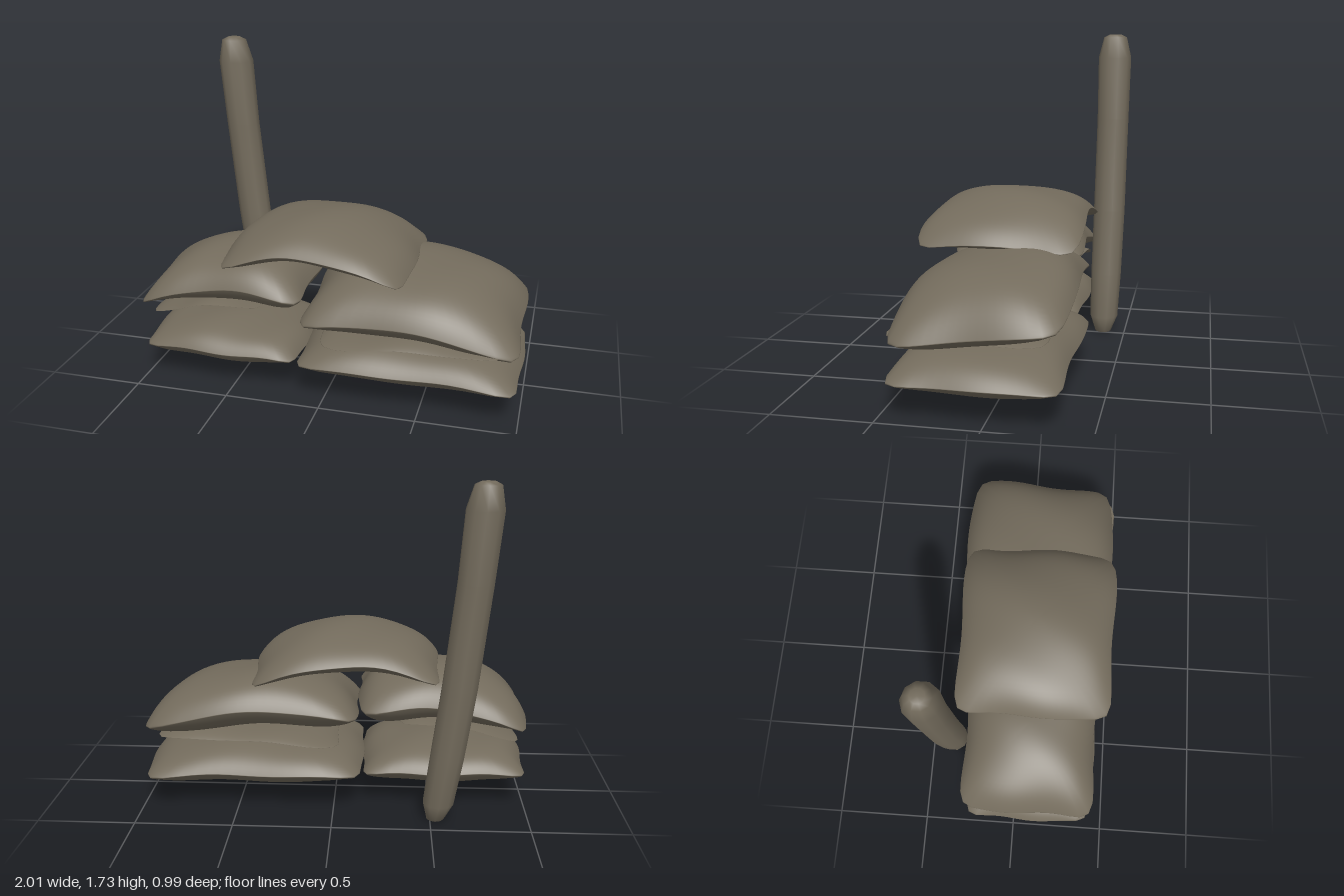
import * as THREE from 'three';
import { mergeVertices } from 'three/addons/utils/BufferGeometryUtils.js';

// Drop uvs and weld seams so the cloth shades smoothly
function weld(geo) {
  geo.deleteAttribute('uv');
  geo.deleteAttribute('normal');
  const g = mergeVertices(geo, 1e-4);
  g.computeVertexNormals();
  return g;
}

// Stuffed sack: a sphere squared off in plan, pinched at the hem, then sagged along its length.
// x, z: extents; seam: seam height at low-x end, middle, high-x end;
// up, down: bulge above and below the seam; lean: shifts the lower bulge towards high x;
// sag: drop of the long edges; tilt: front-back slope
function sackGeometry({ x, z, seam, up, down, lean = 0, sag = 0, tilt = 0, seed = 0 }) {
  const geo = new THREE.SphereGeometry(1, 64, 40);
  const p = geo.attributes.position;
  const n = 11;
  const [low, mid, high] = seam;
  for (let i = 0; i < p.count; i++) {
    const px = p.getX(i), py = p.getY(i), pz = p.getZ(i);
    const r = Math.min(1, Math.hypot(px, pz));
    const a = Math.atan2(pz, px);
    const c = Math.cos(a), s = Math.sin(a);
    const k = r / Math.pow(Math.abs(c) ** n + Math.abs(s) ** n, 1 / n);
    const u = k * c, v = k * s;
    // pillow fullness: blunter at the ends than along the sides, closed at the hem
    const puff = Math.pow(Math.max(0, (1 - Math.abs(u) ** 3.2) * (1 - Math.abs(v) ** 2.3)), 0.5);
    const hem = Math.pow(Math.max(0, 1 - r ** 12), 0.5);
    const bulge = puff * hem * (py > 0 ? up : -down * (1 + lean * u));
    const arch = mid + (high - low) / 2 * u + ((low + high) / 2 - mid) * u * u;
    // slight unevenness of the hem and surface
    const wx = 0.008 * Math.sin(5 * v + seed) * u;
    const wz = 0.01 * Math.sin(4 * u + seed * 1.7) * v;
    const wy = 0.005 * Math.sin(6 * u + 3 * v + seed);
    p.setXYZ(i,
      (x[0] + x[1]) / 2 + u * (x[1] - x[0]) / 2 + wx,
      arch + bulge - sag * v * v + tilt * v + wy,
      (z[0] + z[1]) / 2 + v * (z[1] - z[0]) / 2 + wz);
  }
  return weld(geo);
}

// Leaning, slightly bowed post with blunt chamfered ends
function postGeometry() {
  const profile = [
    [0, 0.005], [0.045, 0.01], [0.08, 0.1], [0.087, 0.35], [0.09, 0.72],
    [0.09, 1.25], [0.094, 1.6], [0.066, 1.715], [0.035, 1.73], [0, 1.73],
  ].map(([r, y]) => new THREE.Vector2(r, y));
  const geo = new THREE.LatheGeometry(profile, 10);
  const p = geo.attributes.position;
  for (let i = 0; i < p.count; i++) {
    const y = p.getY(i);
    const bow = Math.sin(Math.PI * y / 1.73);
    p.setX(i, p.getX(i) - 0.525 - 0.116 * y - 0.02 * bow);
    p.setZ(i, p.getZ(i) - 0.375 - 0.016 * y - 0.005 * bow);
  }
  return weld(geo);
}

export function createModel() {
  const group = new THREE.Group();
  const canvas = new THREE.MeshStandardMaterial({ color: 0x736b5c });
  canvas.name = 'drab canvas';

  const sacks = {
    // bottom course
    bottomSackRight: { x: [-1, -0.15], z: [-0.28, 0.43], seam: [0.2, 0.21, 0.19], up: 0.115, down: 0.105, seed: 1 },
    bottomSackLeft: { x: [-0.15, 0.99], z: [-0.35, 0.47], seam: [0.2, 0.21, 0.18], up: 0.13, down: 0.105, seed: 2 },
    // second course
    middleSackRight: { x: [-1, -0.13], z: [-0.28, 0.42], seam: [0.46, 0.59, 0.55], up: 0.135, down: 0.13, lean: 0.35, sag: 0.03, seed: 3 },
    middleSackLeft: { x: [-0.12, 0.98], z: [-0.36, 0.47], seam: [0.47, 0.53, 0.41], up: 0.165, down: 0.14, sag: 0.015, tilt: -0.045, seed: 4 },
    // loose cloth folds under the second course
    foldRight: { x: [-0.95, -0.35], z: [-0.26, 0.4], seam: [0.37, 0.46, 0.46], up: 0.02, down: 0.025, seed: 5 },
    foldLeft: { x: [-0.02, 0.92], z: [-0.27, 0.48], seam: [0.335, 0.365, 0.375], up: 0.045, down: 0.025, seed: 6 },
    // top sack
    topSack: { x: [-0.54, 0.42], z: [-0.34, 0.48], seam: [0.735, 0.835, 0.705], up: 0.09, down: 0.095, sag: 0.035, seed: 7 },
  };
  for (const [name, spec] of Object.entries(sacks)) {
    const mesh = new THREE.Mesh(sackGeometry(spec), canvas);
    mesh.name = name;
    group.add(mesh);
  }

  const post = new THREE.Mesh(postGeometry(), canvas);
  post.name = 'post';
  group.add(post);
  return group;
}
